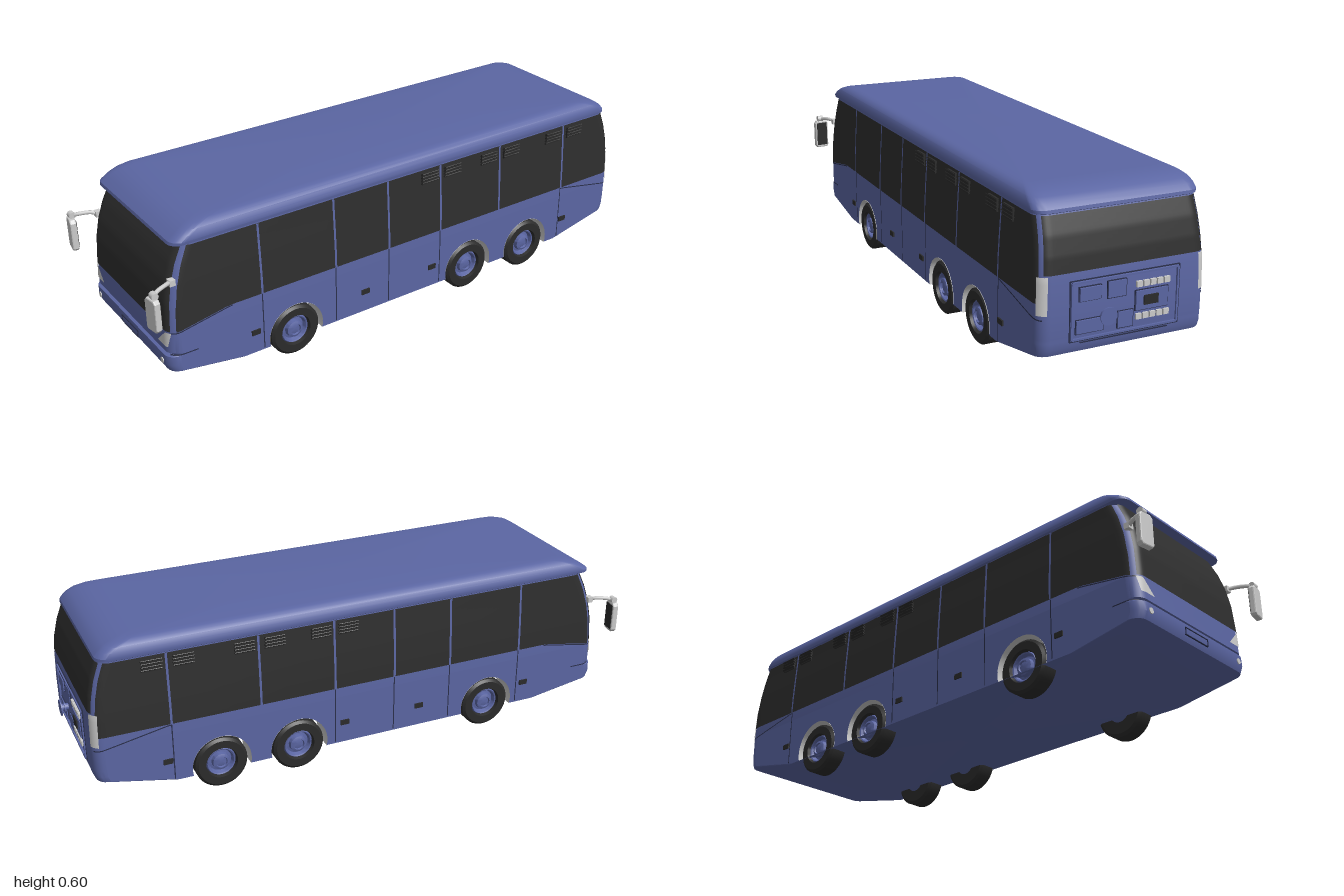
import * as THREE from 'three';
import { toCreasedNormals } from 'three/addons/utils/BufferGeometryUtils.js';

const mat = (color, side = THREE.FrontSide) => new THREE.MeshStandardMaterial({ color, side });
const blue = mat(0x5b66a3), blue2 = mat(0x5b66a3, THREE.DoubleSide);
const dark = mat(0x2b2b2b), glass = mat(0x2e2e2e, THREE.DoubleSide), line = mat(0x2a2f4a, THREE.DoubleSide);
const grey = mat(0xcccccc), grey2 = mat(0xcccccc, THREE.DoubleSide);
const lerp = THREE.MathUtils.lerp, clamp = THREE.MathUtils.clamp;
const R = 0.04, N = 6, WHEEL_Y = 0.094, ARCH = 0.104, AXLES = [-0.545, -0.265, 0.475];

// Body sections, bottom to top: height, half width, front z, back z, height at the back
const BODY = [
  [0.07, 0.287, 0.71, -0.73, 0.07], [0.105, 0.287, 0.932, -0.962, 0.12], [0.13, 0.287, 0.942, -0.97, 0.14],
  [0.162, 0.287, 0.94, -0.971, 0.162], [0.167, 0.287, 0.926, -0.971, 0.167], [0.174, 0.287, 0.935, -0.972, 0.174],
  [0.25, 0.287, 0.931, -0.972, 0.25], [0.35, 0.284, 0.924, -0.969, 0.35], [0.42, 0.28, 0.911, -0.96, 0.42],
  [0.48, 0.276, 0.891, -0.946, 0.48], [0.545, 0.272, 0.86, -0.922, 0.545],
];
const WALL_TOP = 6;
const ROOF = [
  [0.536, 0.268, 0.875, -0.92], [0.542, 0.278, 0.896, -0.932], [0.552, 0.28, 0.893, -0.93], [0.568, 0.278, 0.87, -0.916],
  [0.582, 0.272, 0.845, -0.895], [0.592, 0.262, 0.815, -0.865], [0.598, 0.25, 0.78, -0.835], [0.6, 0.232, 0.73, -0.79],
];

// Stack rounded rectangles; the straight side walls below section openTo are left open
function loft(rings, openTo = 0) {
  const pos = [], idx = [], M = 4 * (N + 1);
  for (const [y, w, zf, zb, yb = y] of rings)
    for (let k = 0; k < 4; k++)
      for (let i = 0; i <= N; i++) {
        const a = (k + i / N) * Math.PI / 2, front = k < 2;
        pos.push((k % 3 ? -1 : 1) * (w - R) + R * Math.cos(a), front ? y : yb, (front ? zf - R : zb + R) + R * Math.sin(a));
      }
  for (let r = 0; r < rings.length - 1; r++)
    for (let j = 0; j < M; j++) {
      if (r < openTo && (j === M - 1 || j === M / 2 - 1)) continue;
      const k = (j + 1) % M, a = r * M + j, b = r * M + k;
      idx.push(a, a + M, b + M, a, b + M, b);
    }
  for (const r of [0, rings.length - 1]) {
    const c = pos.length / 3, [y, , zf, zb] = rings[r];
    pos.push(0, y, (zf + zb) / 2);
    for (let j = 0; j < M; j++) {
      const a = r * M + j, b = r * M + (j + 1) % M;
      r ? idx.push(c, b, a) : idx.push(c, a, b);
    }
  }
  const g = new THREE.BufferGeometry();
  g.setAttribute('position', new THREE.Float32BufferAttribute(pos, 3));
  g.setIndex(idx);
  return toCreasedNormals(g, 0.5);
}

// Body section at any height, and points on its skin
function section(y) {
  let i = 0;
  while (i < BODY.length - 2 && y > BODY[i + 1][0]) i++;
  const a = BODY[i], b = BODY[i + 1], t = clamp((y - a[0]) / (b[0] - a[0]), 0, 1);
  return { w: lerp(a[1], b[1], t), f: lerp(a[2], b[2], t), b: lerp(a[3], b[3], t) };
}
const inset = d => R - Math.sqrt(Math.max(0, R * R - Math.max(0, d) ** 2));
const sideX = (z, y) => { const s = section(y); return s.w - inset(Math.max(z - s.f + R, s.b + R - z)); };
const endZ = (x, y, e) => { const s = section(y), k = inset(Math.abs(x) - s.w + R); return e > 0 ? s.f - k : s.b + k; };

// Grid surface; f takes u in -1..1 (denser at the ends) and v in 0..1
function patch(nu, nv, f) {
  const g = new THREE.PlaneGeometry(2, 1, nu, nv).translate(0, 0.5, 0), p = g.attributes.position;
  for (let i = 0; i < p.count; i++) p.setXYZ(i, ...f(Math.sin(p.getX(i) * Math.PI / 2), p.getY(i)));
  g.computeVertexNormals();
  return g;
}
const sidePatch = (s, z0, z1, lo, hi, off = 0.002, dip = () => 0, nu = 8, nv = 16) => patch(nu, nv, (u, v) => {
  const y0 = lerp(lo, hi, v), sec = section(y0), z = lerp(z0(sec), z1(sec), (u + 1) / 2), y = lerp(lo + dip(z), hi + (hi - lo < 0.02 ? dip(z) : 0), v);
  return [s * (sideX(z, y) + off), y, z];
});
const endPatch = (e, margin, lo, hi) => patch(40, 20, (u, v) => {
  const y = lerp(lo, hi, v), x = u * (section(y).w - margin);
  return [x, y, endZ(x, y, e) + e * 0.003];
});

export function createModel() {
  const bus = new THREE.Group();
  const add = (name, geo, m, x = 0, y = 0, z = 0, parent = bus) => {
    const mesh = new THREE.Mesh(geo, m);
    mesh.name = name;
    mesh.position.set(x, y, z);
    parent.add(mesh);
    return mesh;
  };
  const box = (name, w, h, d, m, x, y, z, parent) => add(name, new THREE.BoxGeometry(w, h, d), m, x, y, z, parent);

  add('body', loft(BODY, WALL_TOP), blue);
  add('roof', loft(ROOF), blue);
  add('windscreen', endPatch(1, 0.014, 0.252, 0.536), glass);
  add('rearWindow', endPatch(-1, 0.016, 0.37, 0.536), glass);

  // Lower side wall with wheel arches cut in
  const wall = new THREE.Shape(), low = BODY.slice(0, WALL_TOP + 1), dy = WHEEL_Y - 0.07;
  const a = Math.asin(dy / ARCH), dx = ARCH * Math.cos(a);
  wall.moveTo(BODY[0][3] + R, 0.07);
  for (const z of AXLES) {
    wall.lineTo(z - dx, 0.07);
    wall.absarc(z, WHEEL_Y, ARCH, Math.PI + a, -a, true);
  }
  for (const r of low) wall.lineTo(r[2] - R, r[0]);
  for (const r of low.slice(1).reverse()) wall.lineTo(r[3] + R, r[4]);
  const wallGeo = new THREE.ShapeGeometry(wall, 20).rotateY(-Math.PI / 2);

  // Wheel parts, turned about the x axis
  const turn = pts => toCreasedNormals(new THREE.LatheGeometry(pts.map(p => new THREE.Vector2(...p)), 36).rotateZ(-Math.PI / 2), 0.6);
  const tyre = turn([[0.04, -0.034], [0.082, -0.034], [0.092, -0.026], [0.092, 0.026], [0.083, 0.034], [0.056, 0.034], [0.052, 0.016]]);
  const rim = turn([[0.053, 0.018], [0.049, 0.026], [0.045, 0.024], [0.04, 0.01], [0.031, 0.012], [0.029, 0.026], [0.02, 0.03], [0.018, 0.024], [0, 0.024]]);
  const well = new THREE.CylinderGeometry(ARCH, ARCH, 0.088, 32, 1, true, -a, Math.PI + 2 * a).rotateZ(Math.PI / 2).rotateX(Math.PI);
  // keep the arch above the sill whichever way the cylinder was turned
  const wp = well.attributes.position;
  for (let i = 0; i < wp.count; i++) {
    const t = -a + (Math.PI + 2 * a) * (i % 33) / 32;
    wp.setXYZ(i, i < 33 ? 0.044 : -0.044, ARCH * Math.sin(t), ARCH * Math.cos(t));
  }
  well.computeVertexNormals();

  const dip = z => -0.034 * clamp((z - 0.72) / 0.19, 0, 1);
  const rearDip = z => -0.045 * clamp((-0.72 - z) / 0.24, 0, 1);
  const at = z => () => z;
  for (const s of [1, -1]) {
    add('sideWall', wallGeo, blue2, s * 0.287);
    add('sideWindows', sidePatch(s, c => c.b + 0.016, c => c.f - 0.02, 0.285, 0.536, 0.002, dip, 60, 20), glass);
    add('frontWaistLine', sidePatch(s, at(0.71), c => c.f - 0.006, 0.279, 0.283, 0.002, dip, 20, 1), line);
    add('rearWaistLine', sidePatch(s, c => c.b + 0.006, at(-0.71), 0.279, 0.283, 0.002, rearDip, 20, 1), line);
    add('bumperLine', sidePatch(s, at(0.84), c => c.f - 0.004, 0.165, 0.169, 0.002, undefined, 16, 1), line);
    add('tailLight', sidePatch(s, c => c.b + 0.001, c => c.b + 0.022, 0.25, 0.365, 0.003), grey2);

    // Window bars and panel seams
    for (const z of [0.6, 0.315, 0.095, -0.13, -0.4, -0.71]) {
      add('windowBar', sidePatch(s, at(z - 0.004), at(z + 0.004), 0.285, 0.536, 0.004, undefined, 1), blue2);
      if (z !== -0.4) add('panelSeam', sidePatch(s, at(z - 0.002), at(z + 0.002), 0.076, 0.283, 0.001, undefined, 1), line);
    }
    for (const z of [0.63, 0.195, -0.095, -0.73]) box('hatchHandle', 0.008, 0.018, 0.032, dark, s * 0.288, 0.148, z);

    // Louvred vents along the window tops
    for (const z of [-0.08, -0.18, -0.345, -0.45, -0.655, -0.76]) {
      const vent = new THREE.Group();
      vent.name = 'vent';
      vent.position.set(s * 0.278, 0.505, z);
      bus.add(vent);
      box('ventFrame', 0.008, 0.042, 0.064, dark, 0, 0, 0, vent);
      for (let i = 0; i < 4; i++) box('louvre', 0.014, 0.002, 0.07, dark, s * 0.004, -0.015 + i * 0.011, 0, vent).rotation.z = s * 0.6;
    }

    for (const z of AXLES) {
      add('wheelArch', well, grey2, s * 0.2445, WHEEL_Y, z);
      for (const [n, g, m] of [['tyre', tyre, dark], ['rim', rim, blue2]])
        add(n, g, m, s * 0.251, WHEEL_Y, z).rotation.y = s > 0 ? 0 : Math.PI;
    }

    // Headlight wrapping the front corner
    add('headlight', patch(12, 8, (u, v) => {
      const y = lerp(0.196, 0.247, v), x = lerp(lerp(0.205, 0.256, v), lerp(0.266, 0.276, v), (u + 1) / 2);
      return [s * x, y, endZ(x, y, 1) + 0.003];
    }), grey2);
    add('fogLight', new THREE.CylinderGeometry(0.01, 0.01, 0.008, 20).rotateX(Math.PI / 2), grey, s * 0.237, 0.136, 0.94);

    // Mirror on a bent arm
    const arm = new THREE.CatmullRomCurve3([[0.265, 0.425, 0.9], [0.283, 0.432, 0.925], [0.3, 0.43, 0.965], [0.312, 0.425, 0.984]]
      .map(([x, y, z]) => new THREE.Vector3(s * x, y, z)));
    add('mirrorArm', new THREE.TubeGeometry(arm, 16, 0.007, 8), grey);
    add('mirrorJoint', new THREE.CylinderGeometry(0.012, 0.012, 0.022, 12).rotateZ(Math.PI / 2), grey, s * 0.312, 0.427, 0.983);
    box('mirrorBase', 0.022, 0.02, 0.02, grey, s * 0.272, 0.427, 0.905);
    const head = new THREE.Shape([[-0.022, -0.058], [0.02, -0.058], [0.028, -0.048], [0.028, 0.045], [0.02, 0.056], [-0.018, 0.056], [-0.028, 0.045], [-0.028, -0.05]]
      .map(([x, y]) => new THREE.Vector2(s * x, y)));
    const headGeo = new THREE.ExtrudeGeometry(head, { depth: 0.012, bevelSize: 0.004, bevelThickness: 0.005, bevelOffset: -0.004, bevelSegments: 2 });
    add('mirrorHead', headGeo, grey, s * 0.307, 0.362, 0.981).rotation.y = s * 0.15;
    box('mirrorGlass', 0.044, 0.095, 0.002, dark, s * 0.307, 0.362, 0.975).rotation.y = s * 0.15;
  }

  // Hollow frame from four bars
  const frame = (name, x, y, z, w, h, t, d, m) => {
    for (const k of [-1, 1]) {
      box(name, w, t, d, m, x, y + k * h / 2, z);
      box(name, t, h, d, m, x + k * w / 2, y, z);
    }
  };
  frame('plateFrame', 0, 0.136, 0.941, 0.12, 0.024, 0.002, 0.006, line);

  // Engine bay on the back
  frame('engineFrame', 0, 0.25, -0.973, 0.36, 0.175, 0.006, 0.01, blue);
  frame('engineFrameSeam', 0, 0.25, -0.972, 0.372, 0.187, 0.003, 0.004, line);
  box('lowerHatch', 0.3, 0.003, 0.004, line, 0, 0.15, -0.972);
  for (const [x, y, w, h, d] of [[0.12, 0.3, 0.07, 0.04, 0.014], [0.03, 0.3, 0.06, 0.05, 0.01], [0.12, 0.2, 0.09, 0.04, 0.012],
    [-0.09, 0.25, 0.11, 0.06, 0.012], [0.0, 0.2, 0.05, 0.05, 0.01]]) {
    box('engineBlock', w, h, d, blue, x, y, -0.972);
    frame('engineSeam', x, y, -0.972, w + 0.004, h + 0.004, 0.002, 0.006, line);
  }
  box('engineCover', 0.05, 0.03, 0.02, dark, -0.085, 0.25, -0.972);
  for (let i = 0; i < 5; i++)
    for (const y of [0.302, 0.2]) box('cylinderCap', 0.019, 0.018, 0.014, grey, -0.045 - i * 0.024, y, -0.972);
  for (const [r, d, z] of [[0.012, 0.03, -0.982], [0.028, 0.004, -0.998], [0.02, 0.004, -0.985]])
    add('pulley', new THREE.CylinderGeometry(r, r, d, 24).rotateX(Math.PI / 2), blue, 0.07, 0.228, z);
  return bus;
}
